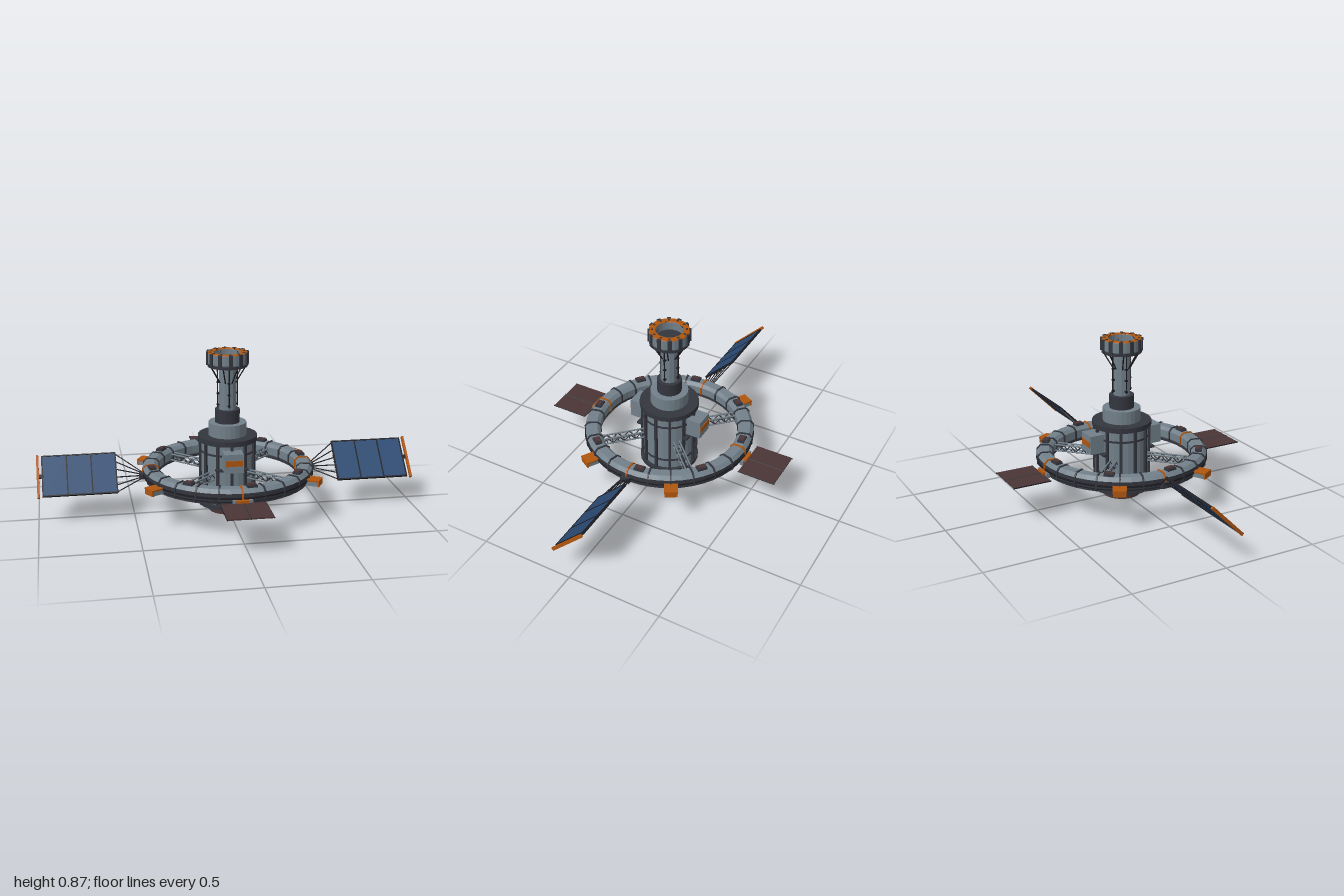
import * as THREE from 'three';

const mat = (name, color) => new THREE.MeshStandardMaterial({ name, color });
const TAU = Math.PI * 2;

// Facet a geometry so each face has its own normal
function flat(geo) {
  const g = geo.index ? geo.toNonIndexed() : geo;
  g.computeVertexNormals();
  return g;
}
const box = (w, h, d) => new THREE.BoxGeometry(w, h, d);
const lathe = (pts, n = 48) =>
  flat(new THREE.LatheGeometry(pts.map(p => new THREE.Vector2(p[0], p[1])), n));

export function createModel() {
  const hull = mat('hullGrey', 0x72808a);
  const dark = mat('darkGrey', 0x34363e);
  const black = mat('strutBlack', 0x1c1c22);
  const orange = mat('orange', 0xb0560f);
  const rust = mat('rustBrown', 0x4a3536);
  const blue = mat('solarBlue', 0x294a72);

  const model = new THREE.Group();
  model.name = 'spaceStation';

  function add(parent, name, geo, material, x = 0, y = 0, z = 0) {
    const m = new THREE.Mesh(geo, material);
    m.name = name;
    m.position.set(x, y, z);
    parent.add(m);
    return m;
  }
  function group(parent, name, angle = 0) {
    const g = new THREE.Group();
    g.name = name;
    g.rotation.y = angle;
    parent.add(g);
    return g;
  }
  // Repeat a part around the axis; local +x points outward
  function around(parent, name, count, start, build) {
    for (let i = 0; i < count; i++) build(group(parent, name, start + i * TAU / count), i);
  }
  function drum(parent, name, r, y0, y1, material, n = 24) {
    return add(parent, name, flat(new THREE.CylinderGeometry(r, r, y1 - y0, n)), material, 0, (y0 + y1) / 2, 0);
  }
  function rod(parent, name, a, b, r, material) {
    const p = new THREE.Vector3(...a), q = new THREE.Vector3(...b);
    const d = q.clone().sub(p);
    const m = add(parent, name, new THREE.CylinderGeometry(r, r, d.length(), 6), material);
    m.position.copy(p).add(q).multiplyScalar(0.5);
    m.quaternion.setFromUnitVectors(new THREE.Vector3(0, 1, 0), d.normalize());
  }

  // Central core
  const core = group(model, 'core');
  drum(core, 'baseDisc', 0.1, 0, 0.045, rust);
  drum(core, 'lowerFlange', 0.157, 0.042, 0.062, dark);
  drum(core, 'coreHull', 0.14, 0.06, 0.395, hull);
  drum(core, 'upperFlange', 0.157, 0.39, 0.417, dark);
  drum(core, 'collar', 0.1, 0.415, 0.486, hull);
  drum(core, 'neck', 0.065, 0.485, 0.556, dark);
  drum(core, 'mast', 0.045, 0.555, 0.81, hull, 12);
  for (const y of [0.115, 0.335]) drum(core, 'coreBand', 0.144, y - 0.005, y + 0.005, dark);
  around(core, 'coreRib', 12, 0, g => add(g, 'rib', box(0.018, 0.34, 0.014), dark, 0.143, 0.226, 0));

  // Equipment boxes on the front and back of the core
  around(core, 'equipmentBox', 2, Math.PI / 2, g => {
    add(g, 'boxBody', box(0.09, 0.1, 0.1), hull, 0.165, 0.318, 0);
    add(g, 'boxPlate', box(0.006, 0.03, 0.088), orange, 0.211, 0.32, 0);
    add(g, 'boxShelf', box(0.03, 0.012, 0.17), dark, 0.137, 0.262, 0);
  });

  // Docking head on top of the mast
  const dock = group(model, 'dockingHead');
  add(dock, 'dockShell', lathe([[0.04, 0.8], [0.102, 0.8], [0.105, 0.805], [0.105, 0.857]], 24), hull);
  add(dock, 'dockRim', lathe([[0.105, 0.857], [0.103, 0.86], [0.072, 0.86], [0.07, 0.857]], 24), orange);
  add(dock, 'dockInnerWall', lathe([[0.07, 0.857], [0.07, 0.812]], 24), hull);
  drum(dock, 'dockFloor', 0.071, 0.802, 0.813, dark);
  drum(dock, 'dockBaseRing', 0.104, 0.785, 0.8, dark);
  around(dock, 'dockClamp', 12, 0, g => {
    add(g, 'clamp', box(0.012, 0.066, 0.02), dark, 0.105, 0.828, 0);
    add(g, 'rimLight', box(0.01, 0.004, 0.01), dark, 0.088, 0.861, 0);
  });
  around(dock, 'dockBrace', 8, TAU / 16, g => {
    rod(g, 'brace', [0.045, 0.7, 0], [0.098, 0.79, 0], 0.0035, black);
  });
  around(dock, 'mastRail', 4, 0, g => {
    rod(g, 'rail', [0.052, 0.57, 0], [0.052, 0.79, 0], 0.004, black);
    for (const y of [0.58, 0.64, 0.7]) add(g, 'railClip', box(0.016, 0.008, 0.012), black, 0.048, y, 0);
  });
  around(dock, 'antenna', 4, TAU / 8, g => {
    rod(g, 'antennaRod', [0.07, 0.858, 0], [0.058, 0.873, 0], 0.0016, black);
  });

  // Habitat ring: dark outer wall and underside, grey top and inner wall
  const ring = group(model, 'habitatRing');
  add(ring, 'ringOuterWall', lathe([[0.38, 0.195], [0.44, 0.195], [0.45, 0.205], [0.45, 0.245]]), dark);
  add(ring, 'ringUpperHull', lathe(
    [[0.45, 0.245], [0.433, 0.264], [0.387, 0.264], [0.37, 0.248], [0.37, 0.206], [0.38, 0.195]]), hull);
  add(ring, 'ringKeel', lathe([[0.375, 0.184], [0.438, 0.184], [0.438, 0.197], [0.375, 0.197], [0.375, 0.184]]), dark);
  add(ring, 'ringBelt', lathe([[0.449, 0.214], [0.455, 0.216], [0.455, 0.224], [0.449, 0.226]]), black);

  const section = new THREE.Shape([[0.379, 0.191], [0.443, 0.191], [0.455, 0.203], [0.455, 0.247],
    [0.435, 0.269], [0.385, 0.269], [0.365, 0.25], [0.365, 0.204]].map(p => new THREE.Vector2(...p)));
  const ribGeo = new THREE.ExtrudeGeometry(section, { depth: 0.009, bevelEnabled: false });
  ribGeo.translate(0, 0, -0.0045);
  around(ring, 'ringRib', 24, 0, (g, i) => add(g, 'rib', ribGeo, i % 6 ? dark : orange));
  around(ring, 'ringHatch', 8, TAU / 48, g => {
    add(g, 'hatchBase', box(0.036, 0.016, 0.052), dark, 0.41, 0.268, 0);
    add(g, 'hatchLid', box(0.026, 0.006, 0.038), rust, 0.41, 0.278, 0);
  });

  // Thruster pods on the outside of the ring
  for (const deg of [30, 150, 210, 330]) {
    const g = group(ring, 'thrusterPod', deg * Math.PI / 180);
    add(g, 'podBody', box(0.07, 0.024, 0.062), hull, 0.475, 0.206, 0);
    add(g, 'podCover', box(0.08, 0.009, 0.07), orange, 0.475, 0.222, 0);
    add(g, 'podNozzlePlate', box(0.008, 0.026, 0.066), orange, 0.51, 0.206, 0);
  }

  // Lattice spokes
  around(model, 'spoke', 4, TAU / 8, g => {
    const h = 0.016, ys = [0.205, 0.238], n = 8, x0 = 0.13, step = 0.245 / n;
    for (const y of ys) for (const z of [-h, h]) rod(g, 'spokeRail', [x0, y, z], [0.375, y, z], 0.0045, hull);
    for (let i = 0; i < n; i++) {
      const a = x0 + i * step, b = a + step, k = i % 2;
      for (const z of [-h, h]) rod(g, 'spokeLace', [a, ys[k], z], [b, ys[1 - k], z], 0.003, dark);
      rod(g, 'spokeTie', [b, ys[0], -h], [b, ys[0], h], 0.003, dark);
    }
  });

  // Radiator panels at front and back
  around(model, 'radiator', 2, Math.PI / 2, g => {
    add(g, 'radiatorMount', box(0.04, 0.022, 0.066), orange, 0.455, 0.205, 0);
    add(g, 'radiatorFoot', box(0.02, 0.026, 0.1), hull, 0.455, 0.202, 0);
    for (const s of [-1, 1]) {
      add(g, 'radiatorPanel', box(0.2, 0.007, 0.112), rust, 0.57, 0.2, s * 0.058);
      rod(g, 'radiatorEdge', [0.468, 0.2, s * 0.114], [0.674, 0.2, s * 0.114], 0.003, black);
    }
    rod(g, 'radiatorSpine', [0.45, 0.2, 0], [0.672, 0.2, 0], 0.005, dark);
  });

  // Tilted solar wings on both sides
  for (const s of [-1, 1]) {
    const wing = group(model, s > 0 ? 'leftSolarWing' : 'rightSolarWing');
    const panel = group(wing, 'solarPanel');
    panel.position.y = 0.235;
    panel.rotation.x = Math.PI / 4;
    for (let i = 0; i < 3; i++) {
      add(panel, 'solarCell', box(0.121, 0.008, 0.222), blue, s * (0.654 + i * 0.127), 0, 0);
    }
    for (let i = 0; i < 4; i++) add(panel, 'panelRib', box(0.007, 0.012, 0.232), black, s * (0.59 + i * 0.127), 0, 0);
    for (const z of [-0.114, 0.114]) add(panel, 'panelRail', box(0.386, 0.012, 0.007), black, s * 0.781, 0, z);
    add(panel, 'tipBar', box(0.012, 0.016, 0.245), orange, s * 0.994, 0, 0);
    add(panel, 'tipLink', box(0.03, 0.008, 0.02), black, s * 0.978, 0, 0);

    // Struts fanning out from the ring to the panel edge and underside
    add(wing, 'strutHub', box(0.03, 0.03, 0.05), dark, s * 0.455, 0.213, 0);
    const onPanel = (x, t, d) => [s * x, 0.235 - 0.707 * (t + d), 0.707 * (t - d)];
    for (const t of [-0.11, -0.065, -0.02, 0.025, 0.07, 0.11]) {
      rod(wing, 'strut', [s * 0.45, 0.214 - t * 0.06, t * 0.2], onPanel(0.59, t, 0.003), 0.003, black);
    }
    for (const t of [-0.08, 0, 0.08]) {
      rod(wing, 'backStrut', onPanel(0.585, t * 0.4, 0.012), onPanel(0.78, t, 0.006), 0.003, black);
    }
  }
  return model;
}
